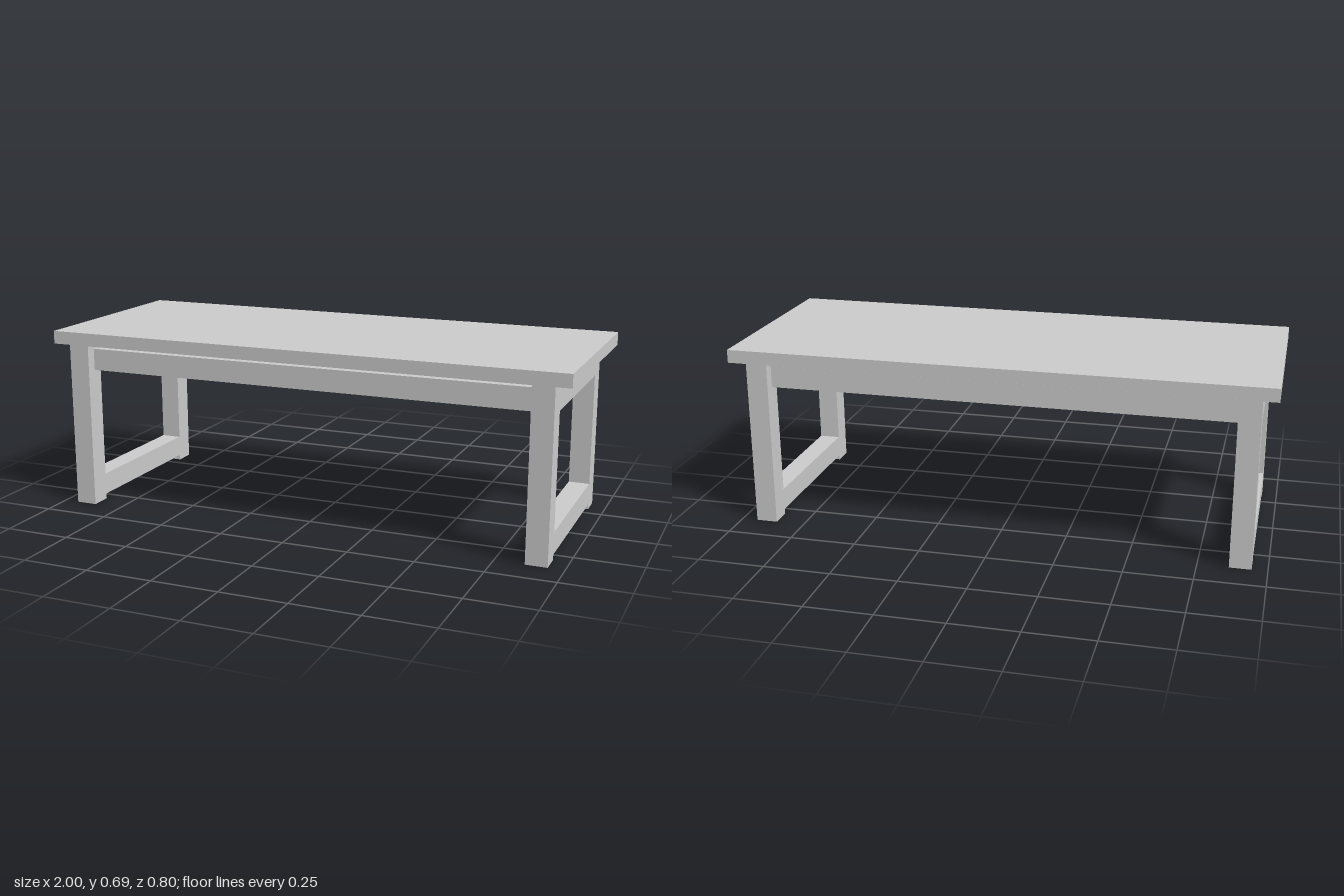
import * as THREE from 'three';

const material = new THREE.MeshStandardMaterial({ color: 0xcccccc });

// Box given by its min/max range on each axis
function beam(name, [x0, x1], [y0, y1], [z0, z1]) {
  const mesh = new THREE.Mesh(new THREE.BoxGeometry(x1 - x0, y1 - y0, z1 - z0), material);
  mesh.position.set((x0 + x1) / 2, (y0 + y1) / 2, (z0 + z1) / 2);
  mesh.name = name;
  return mesh;
}

export function createModel() {
  const table = new THREE.Group();
  table.name = 'table';

  const legX = { right: [-0.943, -0.863], left: [0.86, 0.94] };
  const legZ = { front: [0.3, 0.381], back: [-0.377, -0.296] };
  const legTop = 0.636;
  const upperRail = [0.532, 0.615];
  const lowerRail = [0.02, 0.103];

  // Table top
  table.add(beam('tableTop', [-1, 1], [legTop, 0.685], [-0.4, 0.4]));

  // End frames: two legs joined by an upper and a lower rail
  for (const [side, x] of Object.entries(legX)) {
    const frame = new THREE.Group();
    frame.name = `${side}EndFrame`;
    for (const [end, z] of Object.entries(legZ)) {
      frame.add(beam(`${end}Leg`, x, [0, legTop], z));
    }
    const span = [legZ.back[1], legZ.front[0]];
    frame.add(beam('upperRail', x, upperRail, span));
    frame.add(beam('lowerRail', x, lowerRail, span));
    table.add(frame);
  }

  // Long aprons, set in from the outer faces of the legs
  const length = [legX.right[1], legX.left[0]];
  table.add(beam('frontApron', length, upperRail, [0.26, 0.341]));
  table.add(beam('backApron', length, upperRail, [-0.337, -0.256]));

  return table;
}
